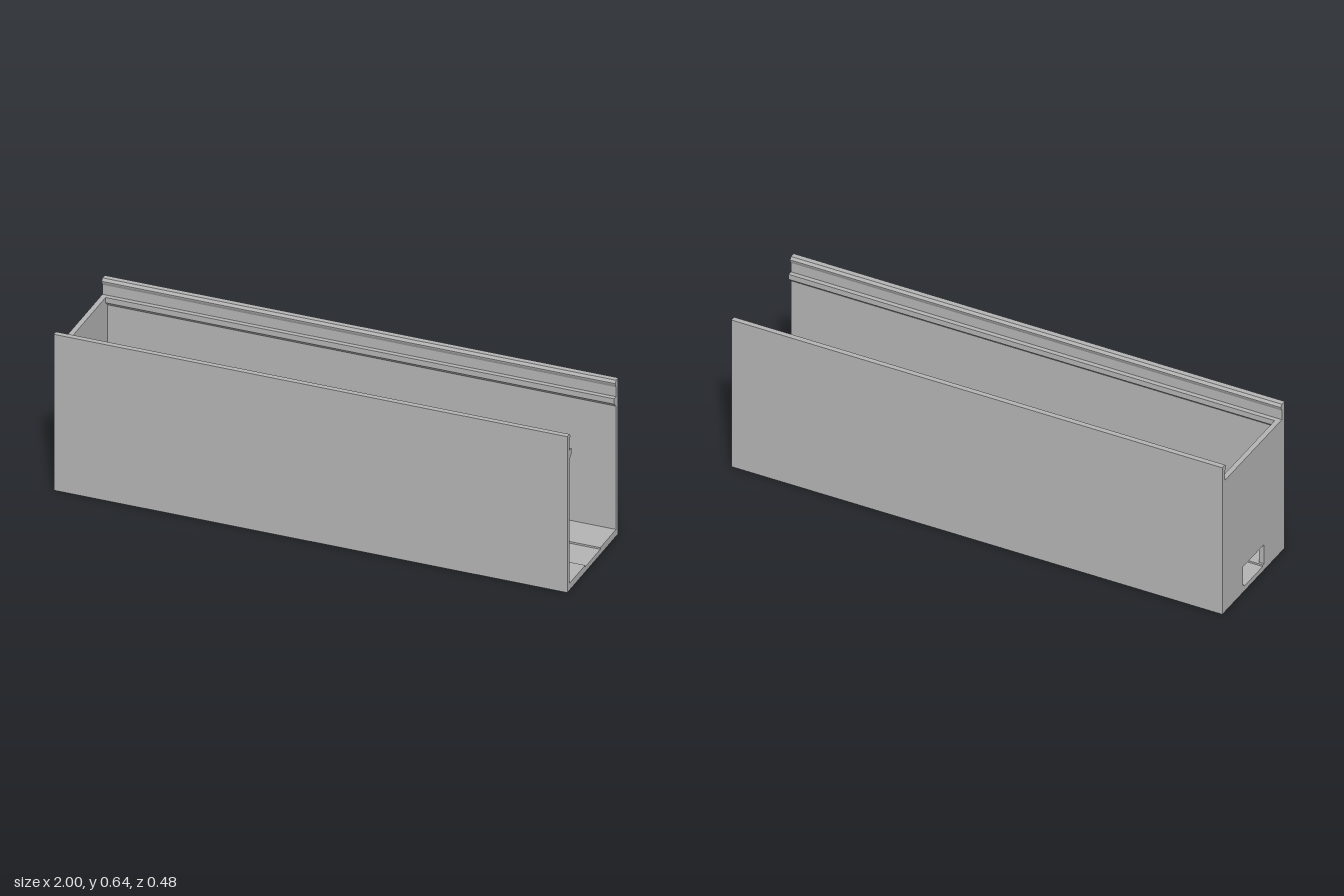
import * as THREE from 'three';

const WALL_TOP = 0.573;

// Outer half profile shared by trough and end wall: [z, y], from base up to the snap lip
const OUTER_HALF = [
  [0.239, 0], [0.239, 0.64], [0.218, 0.64], [0.21, 0.63], [0.211, 0.625], [0.218, 0.612], [0.218, WALL_TOP],
];
// Inner half: ledge, inner wall face, floor and floor groove
const INNER_HALF = [
  [0.2, WALL_TOP], [0.2, 0.551], [0.218, 0.534], [0.218, 0.028], [0.071, 0.028], [0.071, 0.021],
];

// Closed symmetric shape from a half profile
function mirroredShape(half) {
  const other = half.map(([z, y]) => [-z, y]).reverse();
  return new THREE.Shape([...half, ...other].map(([z, y]) => new THREE.Vector2(z, y)));
}

// Extrude a cross-section along x between two positions
function extrudeAlongX(shape, x0, x1, material, name) {
  const geometry = new THREE.ExtrudeGeometry(shape, { depth: x1 - x0, bevelEnabled: false });
  geometry.rotateY(Math.PI / 2);
  geometry.translate(x0, 0, 0);
  const mesh = new THREE.Mesh(geometry, material);
  mesh.name = name;
  return mesh;
}

export function createModel() {
  const group = new THREE.Group();
  group.name = 'cableTrunking';
  const grey = new THREE.MeshStandardMaterial({ color: 0xb2b2b2 });
  grey.name = 'lightGrey';

  // Open channel with snap lips, ledges and a shallow floor groove
  const channel = mirroredShape([...OUTER_HALF, ...INNER_HALF]);
  group.add(extrudeAlongX(channel, -0.98, 1, grey, 'channel'));

  // Closed end with a cable outlet above the groove
  const endWall = mirroredShape(OUTER_HALF);
  const outlet = [[0.071, 0.021], [0.071, 0.028], [0.08, 0.028], [0.08, 0.111]];
  endWall.holes.push(new THREE.Path(mirroredShape(outlet).getPoints()));
  group.add(extrudeAlongX(endWall, -1, -0.98, grey, 'endWall'));

  return group;
}
